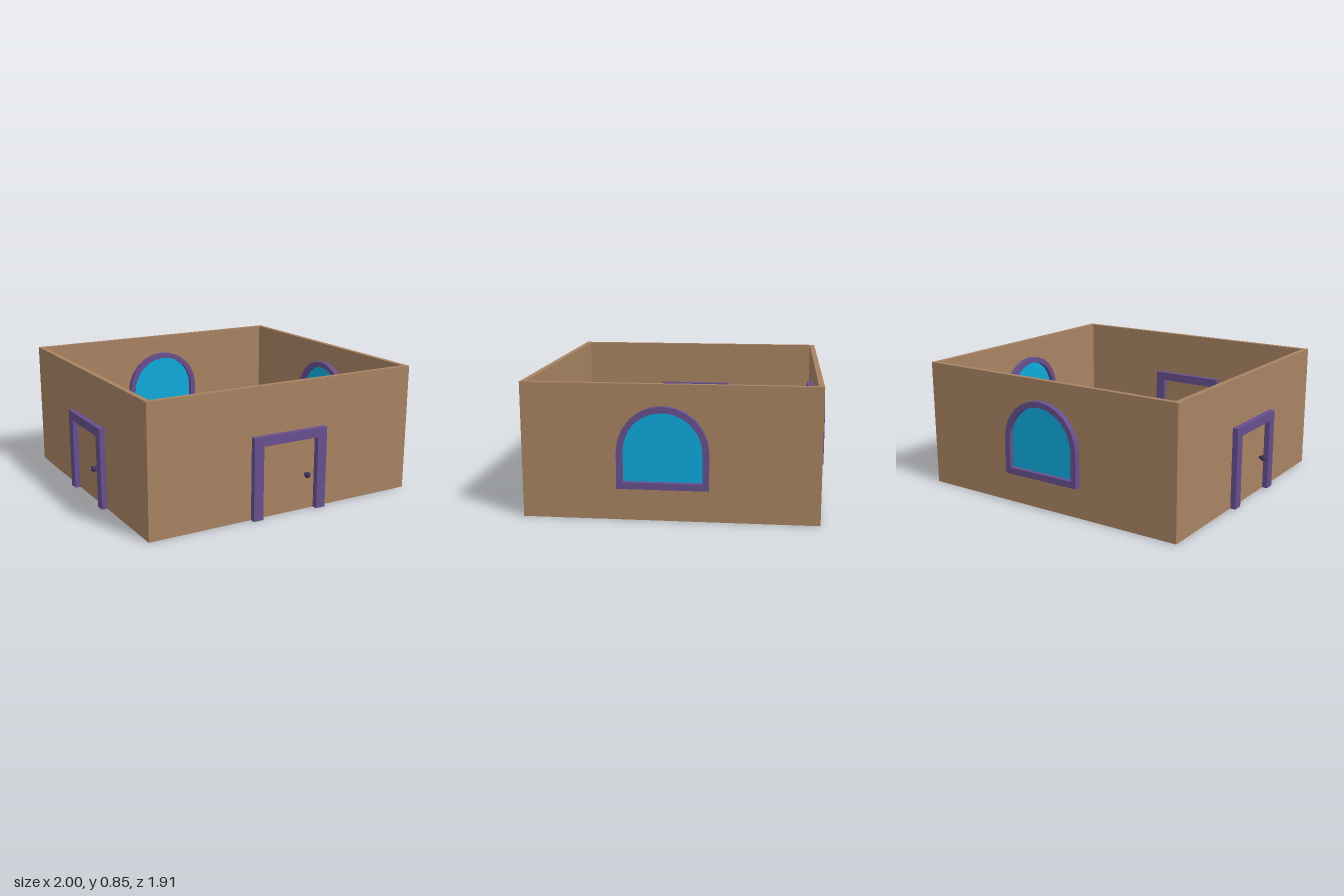
import * as THREE from 'three';

const mat = (color) => new THREE.MeshStandardMaterial({ color, flatShading: true });
const wallMat = mat(0xa88362), trimMat = mat(0x674f8e), glassMat = mat(0x0eaadc);
const knobMat = new THREE.MeshStandardMaterial({ color: 0x42325e });

function add(parent, name, geometry, material, x = 0, y = 0, z = 0) {
  const mesh = new THREE.Mesh(geometry, material);
  mesh.name = name;
  mesh.position.set(x, y, z);
  parent.add(mesh);
  return mesh;
}

// Extrusion centred on its own depth
function slab(shape, depth) {
  const g = new THREE.ExtrudeGeometry(shape, { depth, bevelEnabled: false, curveSegments: 12 });
  return g.translate(0, 0, -depth / 2);
}

// Outline with straight sides and a half-round top
function archPoints(r, bottom, spring, segments = 12) {
  const pts = [new THREE.Vector2(-r, bottom), new THREE.Vector2(r, bottom)];
  for (let i = 0; i <= segments; i++) {
    const a = (Math.PI * i) / segments;
    pts.push(new THREE.Vector2(r * Math.cos(a), spring + r * Math.sin(a)));
  }
  return pts;
}

function makeWindow() {
  const g = new THREE.Group();
  g.name = 'archedWindow';
  const frame = new THREE.Shape(archPoints(0.28, 0.205, 0.435));
  const inner = archPoints(0.243, 0.247, 0.435);
  frame.holes.push(new THREE.Path(inner));
  add(g, 'windowFrame', slab(frame, 0.112), trimMat);
  add(g, 'windowGlass', slab(new THREE.Shape(inner), 0.05), glassMat);
  return g;
}

function makeDoor() {
  const g = new THREE.Group();
  g.name = 'door';
  // Frame: two posts joined by a lintel
  const frame = new THREE.Shape([
    [-0.267, 0], [-0.2, 0], [-0.2, 0.475], [0.2, 0.475],
    [0.2, 0], [0.267, 0], [0.267, 0.535], [-0.267, 0.535],
  ].map(([x, y]) => new THREE.Vector2(x, y)));
  add(g, 'doorFrame', slab(frame, 0.108), trimMat);
  // Knobs on both sides of the door, on a common spindle
  add(g, 'knobSpindle', new THREE.CylinderGeometry(0.008, 0.008, 0.09, 10).rotateX(Math.PI / 2), knobMat, 0.132, 0.235, 0);
  for (const side of [-1, 1]) {
    add(g, 'doorKnob', new THREE.SphereGeometry(0.02, 16, 12), knobMat, 0.132, 0.235, side * 0.046);
  }
  return g;
}

export function createModel() {
  const model = new THREE.Group();
  model.name = 'room';

  const x0 = -0.952, x1 = 0.962, z0 = -0.92, z1 = 0.9, height = 0.845, t = 0.034;
  const cx = (x0 + x1) / 2, cz = (z0 + z1) / 2, w = x1 - x0, d = z1 - z0;

  // Four walls as one open ring
  const rect = (a, b) => [[-a, -b], [a, -b], [a, b], [-a, b]].map(([x, y]) => new THREE.Vector2(x, y));
  const ring = new THREE.Shape(rect(w / 2, d / 2));
  ring.holes.push(new THREE.Path(rect(w / 2 - t, d / 2 - t)));
  add(model, 'walls', slab(ring, height).rotateX(-Math.PI / 2), wallMat, cx, height / 2, cz);

  // Thin floor inside the walls
  add(model, 'floor', new THREE.BoxGeometry(w - 2 * t, 0.01, d - 2 * t), wallMat, cx, 0.005, cz);

  // Openings, each centred in the thickness of its wall
  const openings = [
    [makeDoor(), 0.013, z1 - t / 2, 0],
    [makeDoor(), x0 + t / 2, 0.02, -Math.PI / 2],
    [makeWindow(), x1 - t / 2, 0.03, Math.PI / 2],
    [makeWindow(), 0.02, z0 + t / 2, Math.PI],
  ];
  for (const [part, x, z, turn] of openings) {
    part.position.set(x, 0, z);
    part.rotation.y = turn;
    model.add(part);
  }
  return model;
}
